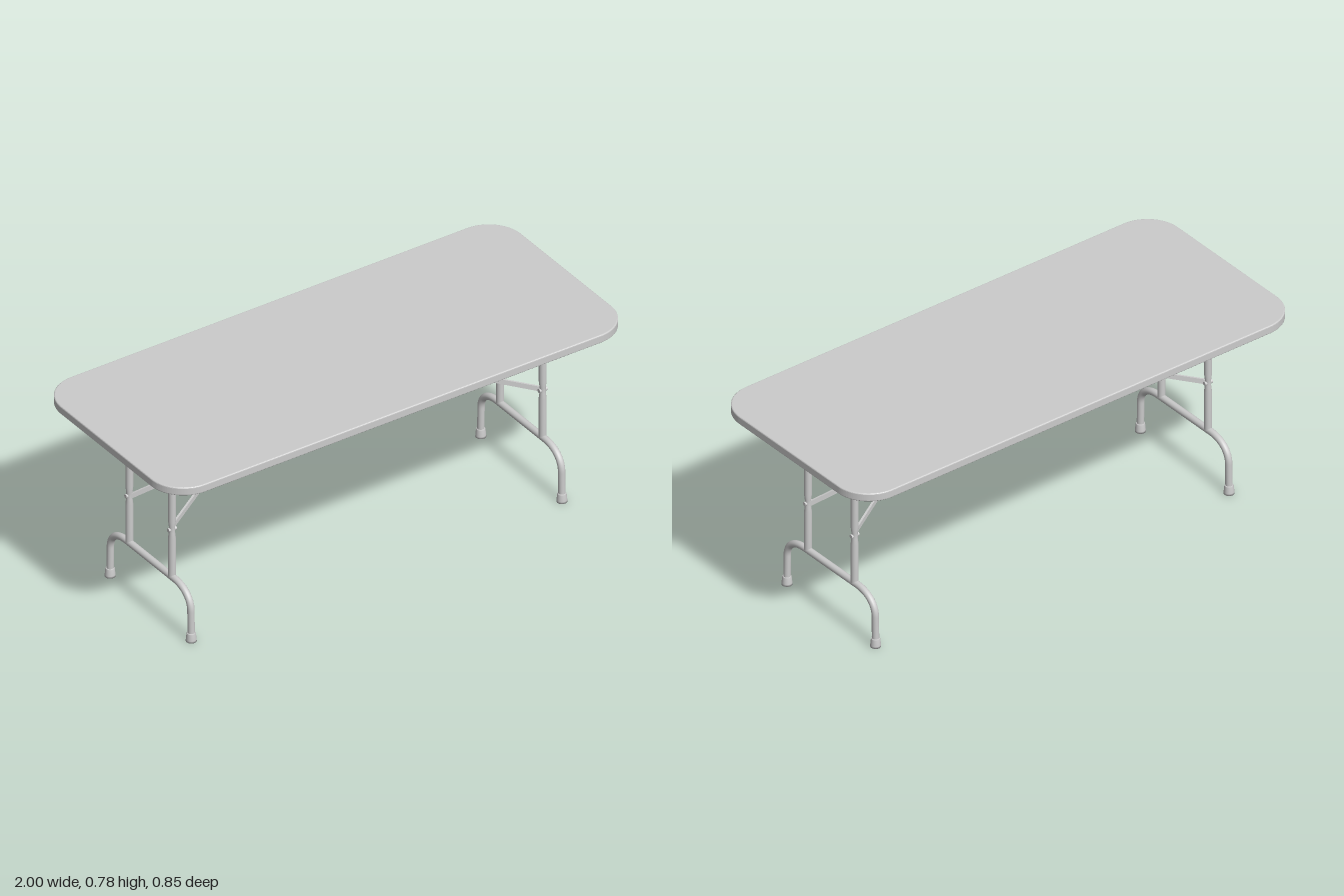
import * as THREE from 'three';

const material = new THREE.MeshStandardMaterial({ color: 0xcccccc });
const V = (x, y, z) => new THREE.Vector3(x, y, z);

function add(parent, name, geometry) {
  const mesh = new THREE.Mesh(geometry, material);
  mesh.name = name;
  parent.add(mesh);
  return mesh;
}

// Rounded rectangle outline with half sizes hx, hz and corner radius r
function roundedRect(Type, hx, hz, r) {
  const s = new Type();
  s.moveTo(hx, -hz + r);
  s.absarc(hx - r, hz - r, r, 0, Math.PI / 2, false);
  s.absarc(-hx + r, hz - r, r, Math.PI / 2, Math.PI, false);
  s.absarc(-hx + r, -hz + r, r, Math.PI, Math.PI * 1.5, false);
  s.absarc(hx - r, -hz + r, r, Math.PI * 1.5, Math.PI * 2, false);
  s.closePath();
  return s;
}

// Horizontal slab between heights y0 and y1
function slab(shape, y0, y1, bevel) {
  const g = new THREE.ExtrudeGeometry(shape, {
    depth: y1 - y0 - 2 * bevel, bevelEnabled: bevel > 0, bevelSize: bevel,
    bevelThickness: bevel, bevelOffset: -bevel, bevelSegments: 3, curveSegments: 16,
  });
  return g.rotateX(-Math.PI / 2).translate(0, y0 + bevel, 0);
}

// Round rod from a to b
function rod(parent, name, a, b, ra, rb = ra) {
  const d = b.clone().sub(a);
  const mesh = add(parent, name, new THREE.CylinderGeometry(rb, ra, d.length(), 20));
  mesh.position.copy(a).add(b).multiplyScalar(0.5);
  mesh.quaternion.setFromUnitVectors(V(0, 1, 0), d.normalize());
  return mesh;
}

// Flat strap from a to b
function strap(parent, name, a, b, width, thickness) {
  const mesh = add(parent, name, new THREE.BoxGeometry(width, thickness, a.distanceTo(b)));
  mesh.position.copy(a).add(b).multiplyScalar(0.5);
  mesh.lookAt(b);
  return mesh;
}

// Bent foot tube: one arch across z with two downturned ends
function footCurve() {
  const y = 0.209, z = 0.257, zb = 0.15, yb = 0.125;
  const c = new THREE.CurvePath();
  c.add(new THREE.LineCurve3(V(0, 0.02, z), V(0, yb, z - 0.002)));
  c.add(new THREE.CubicBezierCurve3(V(0, yb, z - 0.002), V(0, 0.178, z - 0.002), V(0, y, 0.212), V(0, y, zb)));
  c.add(new THREE.LineCurve3(V(0, y, zb), V(0, y, -zb)));
  c.add(new THREE.CubicBezierCurve3(V(0, y, -zb), V(0, y, -0.212), V(0, 0.178, -z + 0.002), V(0, yb, -z + 0.002)));
  c.add(new THREE.LineCurve3(V(0, yb, -z + 0.002), V(0, 0.02, -z)));
  return c;
}

function legAssembly(side) {
  const g = new THREE.Group();
  g.name = side > 0 ? 'leftLegFrame' : 'rightLegFrame';
  const x = 0.805 * side;
  const joint = V(0.49 * side, 0.535, 0);

  // Pivot bar and its end bolts
  rod(g, 'pivotBar', V(x, 0.73, -0.365), V(x, 0.73, 0.365), 0.0125);

  add(g, 'footTube', new THREE.TubeGeometry(footCurve(), 110, 0.0135, 16)).position.x = x;

  for (const s of [-1, 1]) {
    rod(g, 'pivotBolt', V(x, 0.73, 0.36 * s), V(x, 0.73, 0.377 * s), 0.012, 0.007);
    const z = 0.135 * s;

    // Upright, pinched where the brace is bolted on
    const profile = [[0.0145, 0.212], [0.0145, 0.375], [0.0115, 0.4], [0.0115, 0.425],
      [0.0145, 0.45], [0.0145, 0.735]].map(p => new THREE.Vector2(...p));
    add(g, 'upright', new THREE.LatheGeometry(profile, 20)).position.set(x, 0, z);
    rod(g, 'braceBolt', V(x - 0.017, 0.412, z), V(x + 0.017, 0.412, z), 0.008);

    // Flared foot cap
    const cap = [[0, 0], [0.02, 0], [0.0195, 0.008], [0.017, 0.033], [0.015, 0.036], [0, 0.036]]
      .map(p => new THREE.Vector2(...p));
    add(g, 'footCap', new THREE.LatheGeometry(cap, 20)).position.set(x, 0, 0.257 * s);

    // Forked brace arm
    strap(g, 'braceArm', V(x, 0.411, 0.128 * s), V(joint.x, joint.y, 0.003 * s), 0.008, 0.019);
  }

  // Folding brace up to the centre bar, with a sleeve at the fork
  const end = V(0.015 * side, 0.741, -0.006 * side);
  const dir = end.clone().sub(joint).normalize();
  rod(g, 'foldingBrace', joint, end, 0.0075, 0.01);
  rod(g, 'braceSleeve', joint.clone().addScaledVector(dir, -0.02),
    joint.clone().addScaledVector(dir, 0.025), 0.0105);
  return g;
}

export function createModel() {
  const model = new THREE.Group();
  model.name = 'foldingTable';

  add(model, 'tableTop', slab(roundedRect(THREE.Shape, 1, 0.426, 0.14), 0.748, 0.782, 0.005));

  // Apron ring under the top
  const apron = roundedRect(THREE.Shape, 0.93, 0.372, 0.1);
  apron.holes.push(roundedRect(THREE.Path, 0.905, 0.347, 0.075));
  add(model, 'apron', slab(apron, 0.713, 0.749, 0));

  // Centre bar that anchors both braces
  rod(model, 'centreBar', V(0, 0.74, -0.165), V(0, 0.74, 0.165), 0.009);
  for (const s of [-1, 1]) {
    add(model, 'centreBracket', new THREE.BoxGeometry(0.034, 0.02, 0.03)).position.set(0, 0.741, 0.15 * s);
    model.add(legAssembly(s));
  }
  return model;
}
